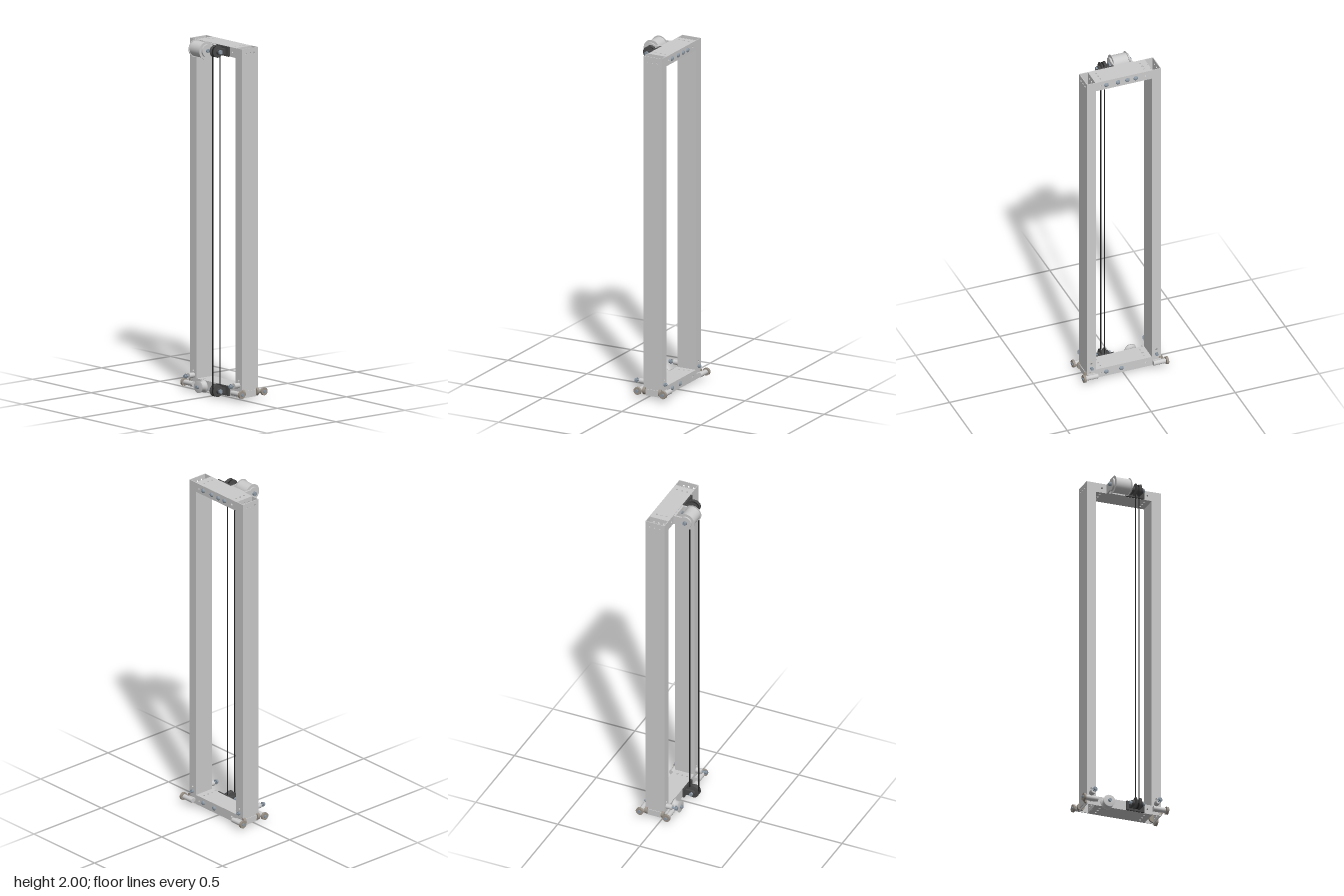
import * as THREE from 'three';

const mat = (color) => new THREE.MeshStandardMaterial({ color, side: THREE.DoubleSide });
const GREY = mat(0xcccccc), DARK = mat(0x4a4a4a), STEEL = mat(0x8d9aa6), TAN = mat(0x9c948a), BLACK = mat(0x222222);

const XC = 0.0385, W = 0.117, D = 0.055, WALL = 0.004; // frame tube section
const TOP_Y = 1.952, LOW_Y = 0.042, HOLE_X = [-0.03, 0, 0.03];

function add(parent, name, geo, material, x = 0, y = 0, z = 0) {
  const m = new THREE.Mesh(geo, material);
  m.name = name;
  m.position.set(x, y, z);
  parent.add(m);
  return m;
}

const box = (p, name, material, x0, x1, y0, y1, z0, z1) =>
  add(p, name, new THREE.BoxGeometry(x1 - x0, y1 - y0, z1 - z0), material, (x0 + x1) / 2, (y0 + y1) / 2, (z0 + z1) / 2);

// Cylinder running along x or z from a to b; u is the remaining horizontal coordinate
function rod(p, name, material, axis, a, b, u, y, r, sides = 24) {
  const g = new THREE.CylinderGeometry(r, r, b - a, sides);
  const c = (a + b) / 2;
  if (axis === 'x') return add(p, name, g.rotateZ(Math.PI / 2), material, c, y, u);
  return add(p, name, g.rotateX(Math.PI / 2), material, u, y, c);
}

// Flat plate with round holes [x, y, r]
function plate(w, len, holes) {
  const s = new THREE.Shape();
  s.moveTo(-w / 2, -len / 2).lineTo(w / 2, -len / 2).lineTo(w / 2, len / 2).lineTo(-w / 2, len / 2).closePath();
  for (const [x, y, r] of holes) {
    const h = new THREE.Path();
    h.absarc(x, y, r, 0, Math.PI * 2, true);
    s.holes.push(h);
  }
  return new THREE.ExtrudeGeometry(s, { depth: WALL, bevelEnabled: false, curveSegments: 10 }).translate(0, 0, -WALL / 2);
}

// Hollow rectangular tube along y, open at both ends
function tube(name, len, faceHoles, sideHoles) {
  const g = new THREE.Group();
  g.name = name;
  for (const s of [-1, 1]) {
    add(g, 'wideWall', plate(W, len, faceHoles), GREY, 0, 0, s * (D - WALL) / 2);
    add(g, 'narrowWall', plate(D - 2 * WALL, len, sideHoles).rotateY(Math.PI / 2), GREY, s * (W - WALL) / 2, 0, 0);
  }
  return g;
}

// Domed screw head on the +x face
function screw(p, y, z) {
  const g = new THREE.SphereGeometry(0.013, 18, 8, 0, Math.PI * 2, 0, Math.PI / 2).scale(1, 0.7, 1).rotateZ(-Math.PI / 2);
  add(p, 'screwHead', g, STEEL, XC + W / 2, y, z);
}

// Grooved pulley in its dark bracket
function pulleyUnit(y) {
  const g = new THREE.Group();
  g.name = 'pulleyUnit';
  const x = -0.069, z = 0.06;
  box(g, 'bracketPlate', DARK, -0.031, -0.02, y - 0.027, y + 0.027, 0.012, 0.119);
  for (const [a, b] of [[0.027, 0.041], [0.078, 0.092]]) {
    box(g, 'bracketArm', DARK, x, -0.03, y - 0.016, y + 0.016, a, b);
    rod(g, 'bracketArmEnd', DARK, 'z', a, b, x, y, 0.016);
  }
  const prof = [[0.008, -0.016], [0.034, -0.016], [0.034, -0.012], [0.024, -0.003], [0.024, 0.003], [0.034, 0.012], [0.034, 0.016], [0.008, 0.016]];
  const lathe = new THREE.LatheGeometry(prof.map(([r, h]) => new THREE.Vector2(r, h)), 36).rotateX(Math.PI / 2);
  add(g, 'pulley', lathe, DARK, x, y, z);
  rod(g, 'pulleyAxle', STEEL, 'z', 0.02, 0.1, x, y, 0.008);
  rod(g, 'axleHead', STEEL, 'z', 0.092, 0.102, x, y, 0.013, 6);
  rod(g, 'axleNut', STEEL, 'z', 0.014, 0.027, x, y, 0.011, 6);
  return g;
}

// Winding drum between two arms
function drumUnit() {
  const g = new THREE.Group();
  g.name = 'drumUnit';
  const x = -0.091, y = 1.95;
  box(g, 'drumMount', GREY, -0.031, -0.02, y - 0.027, y + 0.027, -0.104, 0.012);
  for (const [a, b] of [[-0.104, -0.094], [0.002, 0.012]]) {
    box(g, 'drumArm', GREY, x, -0.03, y - 0.027, y + 0.027, a, b);
    rod(g, 'drumArmEnd', GREY, 'z', a, b, x, y, 0.036);
  }
  rod(g, 'drum', GREY, 'z', -0.092, 0, x, y, 0.044, 40);
  for (const z of [-0.092, -0.002]) rod(g, 'drumFlange', GREY, 'z', z, z + 0.003, x, y, 0.05, 40);
  rod(g, 'drumAxle', STEEL, 'z', -0.118, 0.016, x, y, 0.007);
  rod(g, 'drumNut', STEEL, 'z', -0.117, -0.104, x, y, 0.012, 6);
  rod(g, 'drumAxleHead', STEEL, 'z', 0.012, 0.018, x, y, 0.011);
  for (const z of [-0.08, -0.02]) rod(g, 'mountNut', STEEL, 'x', -0.039, -0.031, z, y, 0.009, 6);
  return g;
}

// Rollers, through bolt and small wheels at the foot of one upright; s is the front/back side
function foot(s) {
  const g = new THREE.Group();
  g.name = s > 0 ? 'frontFoot' : 'backFoot';
  const zr = (name, m, a, b, x, y, r) => rod(g, name, m, 'z', Math.min(s * a, s * b), Math.max(s * a, s * b), x, y, r);
  const y = LOW_Y, z = s * 0.193;
  for (const x of [-0.043, 0.119]) {
    zr('rollerPost', GREY, 0.165, 0.237, x, y, 0.014);
    zr('roller', TAN, 0.239, 0.252, x, y, 0.022);
    zr('rollerBolt', STEEL, 0.235, 0.257, x, y, 0.009);
    const inner = x < 0 ? -0.018 : 0.096;
    box(g, 'postWeb', GREY, Math.min(x, inner), Math.max(x, inner), y - 0.007, y + 0.007, z - 0.024, z + 0.024);
  }
  for (const x of [-0.012, 0.089]) rod(g, 'guideWheel', TAN, 'x', x - 0.008, x + 0.008, s * 0.214, y, 0.022);
  box(g, 'footPlate', GREY, -0.004, 0.081, y - 0.011, y + 0.011, s * 0.222 - 0.002, s * 0.222 + 0.002);
  const by = 0.085;
  rod(g, 'throughBolt', STEEL, 'x', -0.087, 0.115, z, by, 0.005);
  rod(g, 'spacer', GREY, 'x', -0.056, -0.02, z, by, 0.015);
  rod(g, 'boltHead', STEEL, 'x', -0.087, -0.076, z, by, 0.01, 6);
  rod(g, 'washer', STEEL, 'x', -0.076, -0.073, z, by, 0.014);
  rod(g, 'boltNut', STEEL, 'x', 0.097, 0.109, z, by, 0.01, 6);
  return g;
}

// Endless cable around both pulleys
function cable() {
  const pts = [], r = 0.027, arc = (cy, a0) => {
    for (let i = 0; i <= 8; i++) {
      const a = a0 + Math.PI * i / 8;
      pts.push(new THREE.Vector3(-0.069 + r * Math.cos(a), cy + r * Math.sin(a), 0.06));
    }
  };
  arc(TOP_Y, 0);
  arc(LOW_Y, Math.PI);
  const path = new THREE.CurvePath();
  pts.forEach((p, i) => {
    const q = pts[(i + 1) % pts.length];
    if (p.distanceTo(q) > 1e-6) path.add(new THREE.LineCurve3(p, q));
  });
  return new THREE.TubeGeometry(path, 600, 0.004, 8, true);
}

export function createModel() {
  const model = new THREE.Group();
  model.name = 'uprightFrame';

  // Uprights
  const len = 1.965, mid = 0.015 + len / 2;
  const upHoles = [TOP_Y, LOW_Y].flatMap((y) => HOLE_X.map((x) => [x, y - mid, 0.006]));
  for (const s of [-1, 1]) {
    const up = tube(s > 0 ? 'frontUpright' : 'backUpright', len, upHoles, [[0, 0.113 - mid, 0.006]]);
    up.position.set(XC, mid, s * 0.193);
    model.add(up, foot(s));
  }

  // Cross beams
  const barHoles = [-0.132, 0.132].flatMap((z) => HOLE_X.map((x) => [x, z, 0.006]));
  const beams = [['topBeam', TOP_Y, [0.105, 0.036, -0.02, -0.07]], ['bottomBeam', LOW_Y, [0.105, 0.016]]];
  for (const [name, y, screws] of beams) {
    const bar = tube(name, 0.331, barHoles, [[0, 0.14, 0.005], [0, -0.13, 0.006]]);
    bar.rotation.x = Math.PI / 2;
    bar.position.set(XC, y, 0);
    model.add(bar, pulleyUnit(y));
    screws.forEach((z) => screw(model, y, z));
  }

  model.add(drumUnit());
  add(model, 'cable', cable(), BLACK);

  // Side knob on the bottom beam
  const knob = [[0, 0], [0.036, 0], [0.036, 0.005], [0.027, 0.011], [0.027, 0.032], [0.034, 0.038], [0.034, 0.044], [0, 0.044]];
  const kg = new THREE.LatheGeometry(knob.map(([r, h]) => new THREE.Vector2(r, h)), 36).rotateZ(Math.PI / 2);
  add(model, 'sideKnob', kg, GREY, -0.02, 0.036, -0.102);
  rod(model, 'knobBolt', STEEL, 'x', -0.077, -0.06, -0.102, 0.036, 0.01, 6);
  return model;
}
